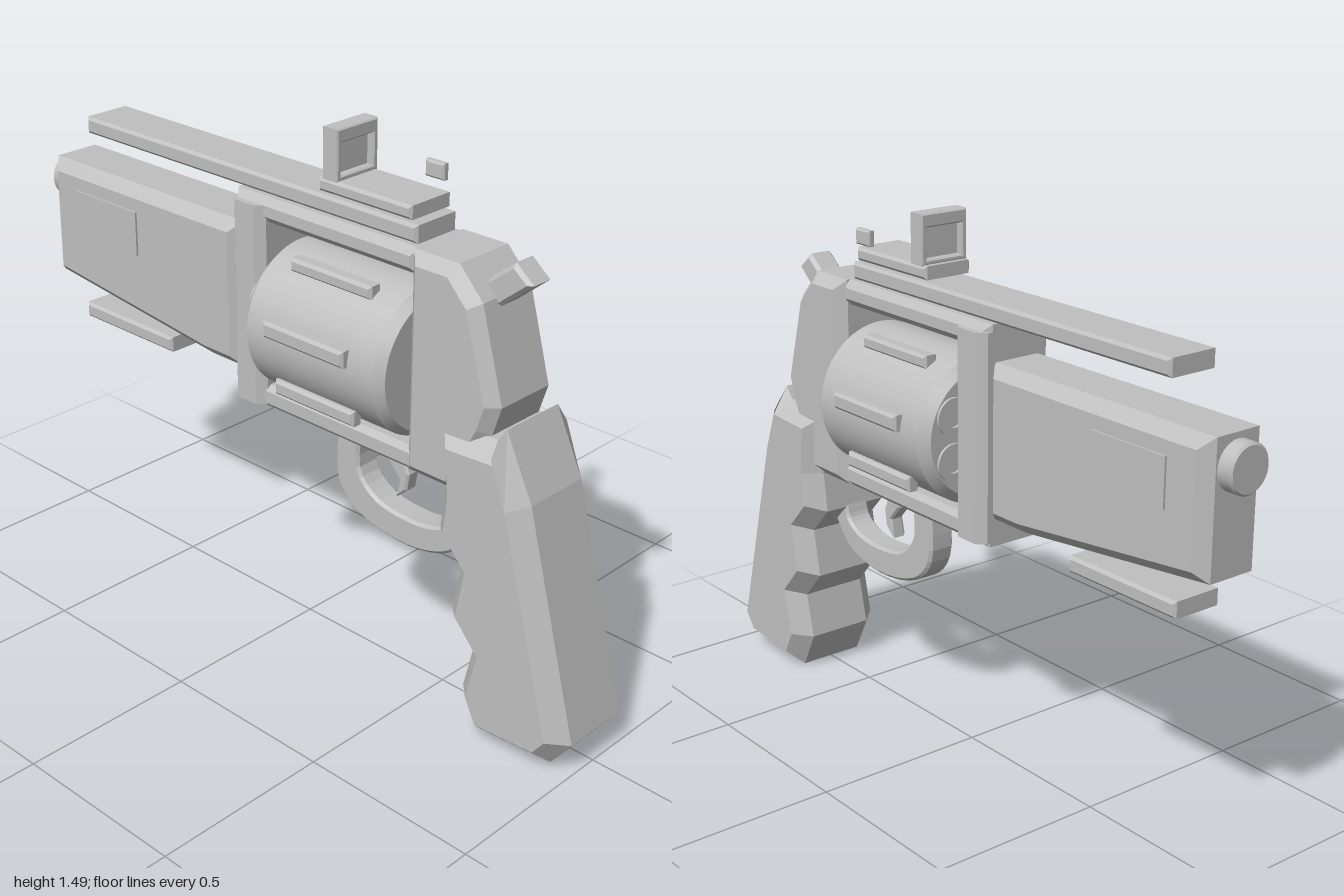
import * as THREE from 'three';
import { toCreasedNormals } from 'three/addons/utils/BufferGeometryUtils.js';

export function createModel() {
  const model = new THREE.Group();
  model.name = 'revolver';
  const metal = new THREE.MeshStandardMaterial({ color: 0xbfbfbf });
  metal.name = 'plain grey';

  function add(name, geometry, x = 0, y = 0, z = 0) {
    const mesh = new THREE.Mesh(geometry, metal);
    mesh.name = name;
    mesh.position.set(x, y, z);
    model.add(mesh);
    return mesh;
  }

  // Side outline of [z, y] points, given width across x, with chamfered rims
  function slab(name, points, halfWidth, bevel, inset = bevel, x = 0) {
    const shape = new THREE.Shape(points.map(([z, y]) => new THREE.Vector2(-z, y)));
    const geometry = new THREE.ExtrudeGeometry(shape, {
      depth: 2 * (halfWidth - bevel), bevelEnabled: true, bevelSegments: 1,
      bevelThickness: bevel, bevelSize: inset, bevelOffset: -inset,
    });
    geometry.translate(0, 0, -(halfWidth - bevel));
    geometry.rotateY(Math.PI / 2);
    return add(name, geometry, x);
  }

  // Chamfered block from its z and y limits
  function block(name, z0, z1, y0, y1, halfWidth, bevel = 0.008, x = 0) {
    return slab(name, [[z0, y0], [z0, y1], [z1, y1], [z1, y0]], halfWidth, bevel, bevel, x);
  }

  // Turned part along z from [radius, z] points
  function turned(name, profile, segments, x, y) {
    const geometry = new THREE.LatheGeometry(profile.map(([r, z]) => new THREE.Vector2(r, z)), segments);
    geometry.rotateX(Math.PI / 2);
    return add(name, toCreasedNormals(geometry, 0.4), x, y);
  }

  // Grip with finger notches
  slab('grip', [
    [0.75, 0.885], [0.725, 0.85], [0.555, 0.84], [0.57, 0.66], [0.555, 0.545],
    [0.63, 0.465], [0.605, 0.325], [0.68, 0.24], [0.65, 0.11], [0.705, 0],
    [0.94, 0.015], [1, 0.095], [0.835, 0.71],
  ], 0.148, 0.05, 0.045);

  // Frame around the drum
  slab('rearFrame', [
    [0.58, 1.26], [0.437, 1.26], [0.437, 0.66], [0.6, 0.66],
    [0.7, 0.85], [0.725, 0.93], [0.655, 1.18],
  ], 0.12, 0.03);
  block('topStrap', 0.45, -0.185, 1.19, 1.26, 0.1, 0.02);
  block('bottomStrap', 0.56, -0.185, 0.66, 0.725, 0.1, 0.015);
  const post = new THREE.Shape();
  [[-0.095, -0.185], [0.095, -0.185], [0.118, -0.16], [0.118, -0.09], [0.095, -0.067], [-0.095, -0.067],
    [-0.118, -0.09], [-0.118, -0.16]].forEach(([x, z], i) => (i ? post.lineTo(x, -z) : post.moveTo(x, -z)));
  const postGeometry = new THREE.ExtrudeGeometry(post, { depth: 0.57, bevelEnabled: false });
  postGeometry.rotateX(-Math.PI / 2);
  add('frontFrame', postGeometry, 0, 0.67, 0);

  // Hammer
  slab('hammer', [[0.755, 1.235], [0.7, 1.28], [0.6, 1.2], [0.64, 1.14]], 0.04, 0.01);

  // Drum with raised bars and chamber rims
  const drumY = 0.93;
  turned('drum', [[0, -0.056], [0.18, -0.056], [0.205, -0.03], [0.205, 0.41], [0.185, 0.436], [0, 0.436]], 64, 0, drumY);
  turned('axle', [[0, -0.075], [0.03, -0.075], [0.03, 0.45], [0, 0.45]], 20, 0, drumY);
  for (const side of [-1, 1]) {
    for (const [x, y, hx, hy] of [[0.1, 1.115, 0.022, 0.019], [0.206, 0.967, 0.018, 0.023], [0.162, 0.789, 0.02, 0.021]]) {
      block('drumBar', 0.325, 0.045, y - hy, y + hy, hx, 0.008, side * x);
    }
  }
  for (let i = 0; i < 6; i++) {
    const a = (i + 0.5) * Math.PI / 3;
    turned('chamberRim', [[0.03, -0.05], [0.03, -0.064], [0.052, -0.064], [0.052, -0.05]], 24,
      0.125 * Math.cos(a), drumY + 0.125 * Math.sin(a));
  }

  // Barrel housing, side panels and muzzle
  slab('barrel', [
    [-0.18, 1.16], [-0.958, 1.16], [-0.958, 0.805], [-0.31, 0.735], [-0.18, 0.735],
  ], 0.1, 0.032);
  for (const side of [-1, 1]) {
    add('barrelPanel', new THREE.BoxGeometry(0.008, 0.13, 0.255), side * 0.102, 1.025, -0.707);
  }
  turned('muzzle', [[0, -1], [0.058, -1], [0.064, -0.994], [0.064, -0.94], [0, -0.94]], 32, 0, 1.08);

  // Rails and sight
  block('topRail', 0.43, -0.81, 1.262, 1.31, 0.076);
  block('sightBase', 0.41, 0.1, 1.318, 1.355, 0.076);
  block('lowerRail', -0.48, -0.855, 0.683, 0.728, 0.076);
  block('sightButton', 0.38, 0.318, 1.372, 1.416, 0.011, 0.005, 0.089);
  const rim = new THREE.Shape([[-0.071, 1.357], [0.071, 1.357], [0.071, 1.486], [-0.071, 1.486]]
    .map(([x, y]) => new THREE.Vector2(x, y)));
  rim.holes.push(new THREE.Path([[-0.062, 1.364], [-0.062, 1.457], [0.062, 1.457], [0.062, 1.364]]
    .map(([x, y]) => new THREE.Vector2(x, y))));
  add('sightFrame', new THREE.ExtrudeGeometry(rim, {
    depth: 0.044, bevelSegments: 1, bevelThickness: 0.004, bevelSize: 0.004,
  }), 0, 0, 0.118);
  add('sightPane', new THREE.BoxGeometry(0.126, 0.1, 0.008), 0, 1.41, 0.14);

  // Trigger and its guard
  const outer = new THREE.CatmullRomCurve3([[0.137, 0.67], [0.14, 0.5], [0.21, 0.425], [0.39, 0.39], [0.53, 0.425], [0.6, 0.5]]
    .map(([z, y]) => new THREE.Vector3(z, y, 0))).getPoints(20);
  const inner = new THREE.CatmullRomCurve3([[0.545, 0.555], [0.53, 0.515], [0.48, 0.485], [0.39, 0.474], [0.28, 0.492], [0.22, 0.55], [0.22, 0.67]]
    .map(([z, y]) => new THREE.Vector3(z, y, 0))).getPoints(20);
  slab('triggerGuard', [...outer, ...inner].map((p) => [p.x, p.y]), 0.04, 0.008);
  slab('trigger', [
    [0.38, 0.67], [0.3, 0.67], [0.305, 0.61], [0.345, 0.565], [0.335, 0.51], [0.37, 0.54], [0.378, 0.59], [0.36, 0.63],
  ], 0.022, 0.006);

  return model;
}
